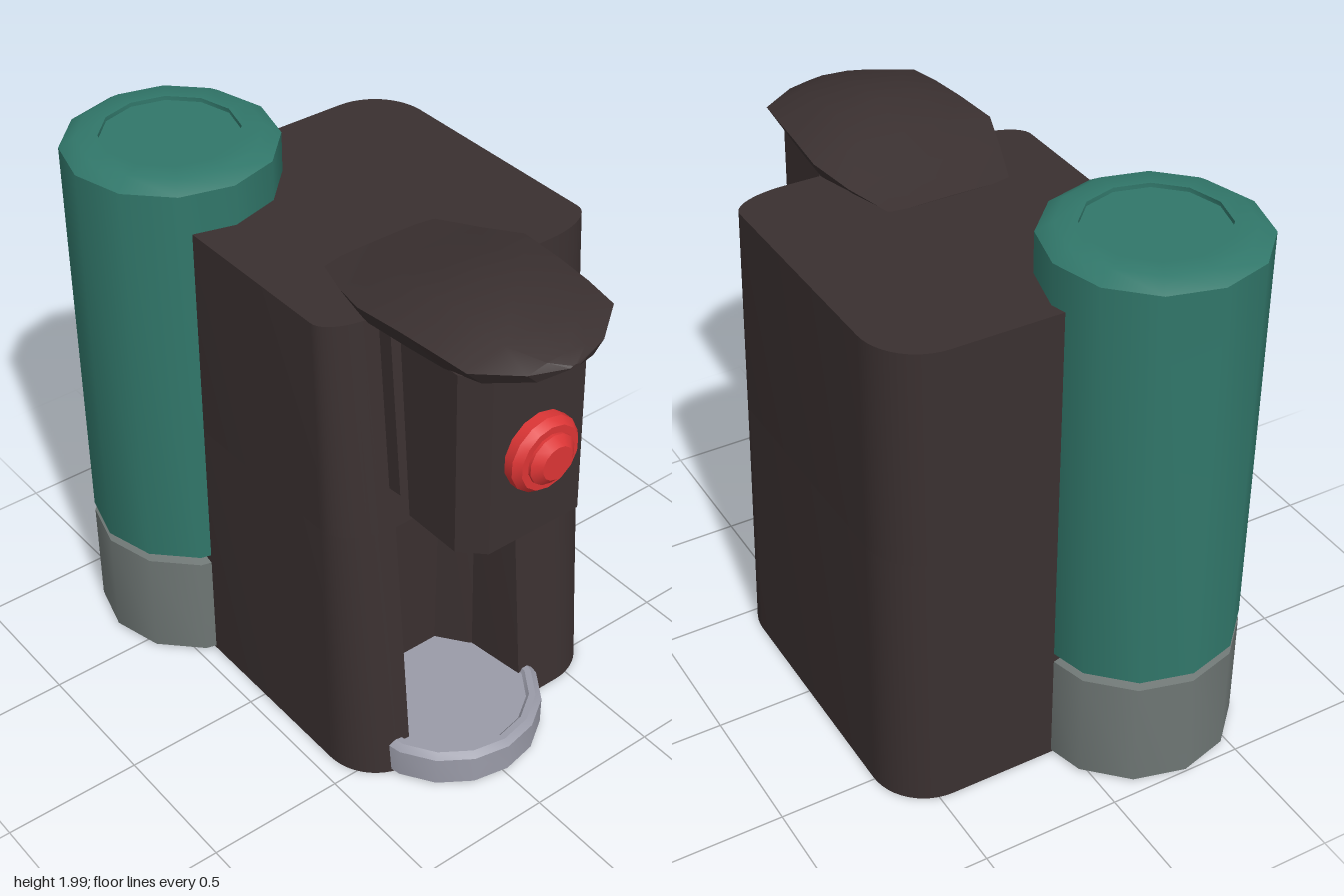
import * as THREE from 'three';
import { toCreasedNormals } from 'three/addons/utils/BufferGeometryUtils.js';

const paint = (name, color, side = THREE.FrontSide) => {
  const m = new THREE.MeshStandardMaterial({ color, side });
  m.name = name;
  return m;
};

// Skin a stack of equal-length rings and close both ends
function loft(rings, crease) {
  const n = rings[0].length, idx = [];
  for (let i = 0; i < rings.length - 1; i++) {
    for (let j = 0; j < n; j++) {
      const k = (j + 1) % n, a = i * n, b = a + n;
      idx.push(a + j, a + k, b + k, a + j, b + k, b + j);
    }
  }
  const last = (rings.length - 1) * n;
  for (let j = 1; j < n - 1; j++) idx.push(0, j + 1, j, last, last + j, last + j + 1);
  const g = new THREE.BufferGeometry();
  g.setAttribute('position', new THREE.Float32BufferAttribute(rings.flat(2), 3));
  g.setIndex(idx);
  return toCreasedNormals(g, crease);
}

// Turned part from [radius, height] points
function lathe(points, segments) {
  const g = new THREE.LatheGeometry(points.map(([r, y]) => new THREE.Vector2(r, y)), segments);
  return toCreasedNormals(g, 0.6);
}

const SLOPE = 0.18 / 1.81;
const frontZ = (y) => 0.59 - SLOPE * y;
const TILT = -Math.atan(SLOPE);

// Rounded footprint, optionally with the cup recess cut into the front
function footprint(recess) {
  const s = new THREE.Shape(), r = 0.2, x0 = -0.435, x1 = 0.65, y0 = -0.59, y1 = 0.69;
  s.moveTo(x0 + r, y0);
  if (recess) {
    [[-0.25, y0], [-0.22, -0.36], [-0.135, -0.245], [0.155, -0.245], [0.24, -0.36], [0.27, y0]]
      .forEach(([x, y]) => s.lineTo(x, y));
  }
  s.lineTo(x1 - r, y0);
  s.absarc(x1 - r, y0 + r, r, -Math.PI / 2, 0);
  s.absarc(x1 - r, y1 - r, r, 0, Math.PI / 2);
  s.absarc(x0 + r, y1 - r, r, Math.PI / 2, Math.PI);
  s.absarc(x0 + r, y0 + r, r, Math.PI, Math.PI * 1.5);
  return s;
}

// Body slab between two heights, its front leaning back with height
function bodySlab(recess, bottom, top) {
  const g = new THREE.ExtrudeGeometry(footprint(recess), { depth: top - bottom, bevelEnabled: false, curveSegments: 6 });
  g.rotateX(-Math.PI / 2).translate(0, bottom, 0);
  const p = g.attributes.position;
  for (let i = 0; i < p.count; i++) {
    const z = p.getZ(i);
    p.setZ(i, z - SLOPE * p.getY(i) * THREE.MathUtils.clamp((z - 0.25) / 0.34, 0, 1));
  }
  return toCreasedNormals(g, 0.5);
}

export function createModel() {
  const model = new THREE.Group();
  model.name = 'coffeeMachine';
  const dark = paint('darkBrown', 0x3a3030);
  const green = paint('tankGreen', 0x31776a);
  const gray = paint('baseGray', 0x6e7674, THREE.DoubleSide);
  const silver = paint('silver', 0x9a9ba8);
  const red = paint('knobRed', 0xdc3535);

  const add = (name, geometry, material, x = 0, y = 0, z = 0, parent = model) => {
    const m = new THREE.Mesh(geometry, material);
    m.name = name;
    m.position.set(x, y, z);
    parent.add(m);
    return m;
  };

  // Body
  add('bodyFloor', bodySlab(false, 0, 0.01), dark);
  add('bodyLower', bodySlab(true, 0.01, 1.02), dark);
  add('bodyUpper', bodySlab(false, 1.02, 1.81), dark);

  // Water tank with a dished top, on an open-bottomed base
  add('waterTank', lathe([[0, 0.43], [0.335, 0.43], [0.365, 0.455], [0.365, 1.955], [0.31, 1.99],
    [0.235, 1.99], [0.235, 1.975], [0, 1.975]], 12), green, -0.29, 0, -0.635);
  add('tankBase', lathe([[0.365, 0.01], [0.365, 0.42], [0.33, 0.43]], 12), gray, -0.29, 0, -0.635);

  // Brewing head: chamfered prism with sloping back and bevelled underside
  const headRing = (y, inset) => {
    const t = (1.8 - y) / 0.67, c = 0.075;
    const l = -0.25 + inset, r = 0.27 - inset, b = 0.515 + 0.06 * t + inset, f = 0.853 + 0.017 * t - inset;
    return [[r, y, b], [l, y, b], [l, y, f - c], [l + c, y, f], [r - c, y, f], [r, y, f - c]];
  };
  add('brewHead', loft([headRing(1.105, 0.035), headRing(1.135, 0), headRing(1.8, 0)], 0.3), dark);
  const backPlate = add('headBackPlate', new THREE.BoxGeometry(0.52, 0.61, 0.07), dark, 0.01, 1.485, frontZ(1.485) + 0.02);
  backPlate.rotation.x = TILT;

  // Lid: [z, half width, edge height, crown height, underside height, underside half width]
  const lidRings = [
    [0.08, 0.22, 1.808, 1.812, 1.8, 0.21],
    [0.25, 0.285, 1.832, 1.85, 1.8, 0.26],
    [0.4, 0.333, 1.865, 1.897, 1.8, 0.3],
    [0.58, 0.318, 1.87, 1.935, 1.795, 0.28],
    [0.72, 0.305, 1.868, 1.927, 1.795, 0.265],
    [0.85, 0.288, 1.86, 1.9, 1.8, 0.23],
    [0.955, 0.15, 1.85, 1.867, 1.81, 0.11],
    [0.995, 0.02, 1.842, 1.848, 1.838, 0.015],
  ].map(([z, w, e, c, b, u]) => {
    const q = e + (c - e) * 0.8;
    return [[-u, b, z], [u, b, z], [w, e, z], [w * 0.5, q, z], [0, c, z], [-w * 0.5, q, z], [-w, e, z]]
      .map(([x, y, zz]) => [x + 0.01, y, zz]);
  });
  add('lid', loft(lidRings, 0.35), dark);

  // Round knob on the head
  const knob = lathe([[0, -0.02], [0.135, -0.02], [0.135, 0.035], [0.115, 0.06], [0.09, 0.06],
    [0.09, 0.07], [0.06, 0.095], [0, 0.095]], 14);
  add('knob', knob, red, 0.01, 1.457, 0.86).rotation.x = Math.PI / 2;

  // Outlet under the head
  add('outletPlate', new THREE.CylinderGeometry(0.19, 0.18, 0.035, 12).scale(1, 1, 0.47), silver, 0.01, 1.093, 0.72);
  add('outletSpout', new THREE.CylinderGeometry(0.018, 0.018, 0.06, 8), silver, 0.01, 1.05, 0.72);

  // Control panel with four buttons, leaning with the body front
  const panel = new THREE.Group();
  panel.name = 'controlPanel';
  panel.position.set(0.41, 1.26, frontZ(1.26));
  panel.rotation.x = TILT;
  model.add(panel);
  add('panelPlate', new THREE.BoxGeometry(0.16, 0.545, 0.02), dark, 0, 0, 0, panel);
  for (let i = 0; i < 4; i++) {
    add('panelButton', new THREE.BoxGeometry(0.055, 0.055, 0.035), silver, 0, 0.207 - i * 0.126, 0.014, panel);
  }

  // Drip tray with raised rim
  add('dripTray', lathe([[0, 0.012], [0.34, 0.012], [0.34, 0.12], [0.318, 0.14], [0.295, 0.14],
    [0.285, 0.127], [0, 0.127]], 16), silver, 0.012, 0, 0.48);

  return model;
}
